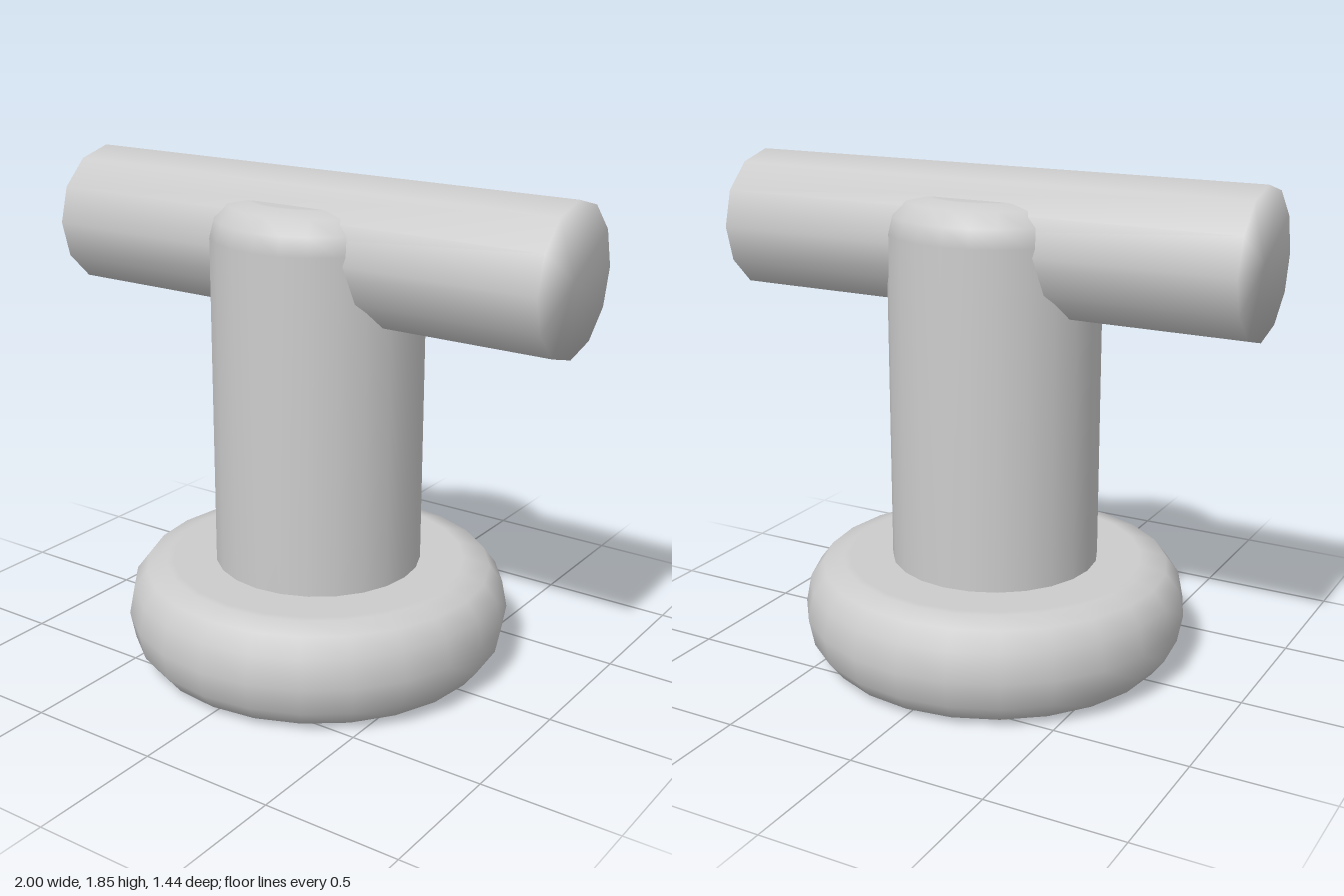
import * as THREE from 'three';

export function createModel() {
  const model = new THREE.Group();
  const grey = new THREE.MeshStandardMaterial({ color: 0xcccccc });
  grey.name = 'light grey';

  // Turned part: profile of [radius, height] pairs, bottom to top
  function turned(name, profile, sides) {
    const points = profile.map(([r, y]) => new THREE.Vector2(r, y));
    const mesh = new THREE.Mesh(new THREE.LatheGeometry(points, sides), grey);
    mesh.name = name;
    model.add(mesh);
    return mesh;
  }

  // Rounded disc base with flat top and underside
  turned('base', [
    [0, 0.005], [0.55, 0.005], [0.575, 0.007], [0.65, 0.03], [0.7, 0.095], [0.72, 0.197],
    [0.7, 0.3], [0.65, 0.365], [0.575, 0.388], [0.55, 0.39], [0, 0.39],
  ], 24);

  // Upright column with a rounded top edge
  turned('column', [
    [0.387, 0.3], [0.387, 1.62], [0.37, 1.685], [0.322, 1.735], [0.255, 1.753], [0.24, 1.754], [0, 1.754],
  ], 24);

  // Twelve-sided crossbar, softly shaded into its end caps
  const bar = turned('crossbar', [[0, -1], [0.262, -1], [0.262, 1], [0, 1]], 12);
  bar.rotation.z = Math.PI / 2;
  bar.position.y = 1.588;

  return model;
}
